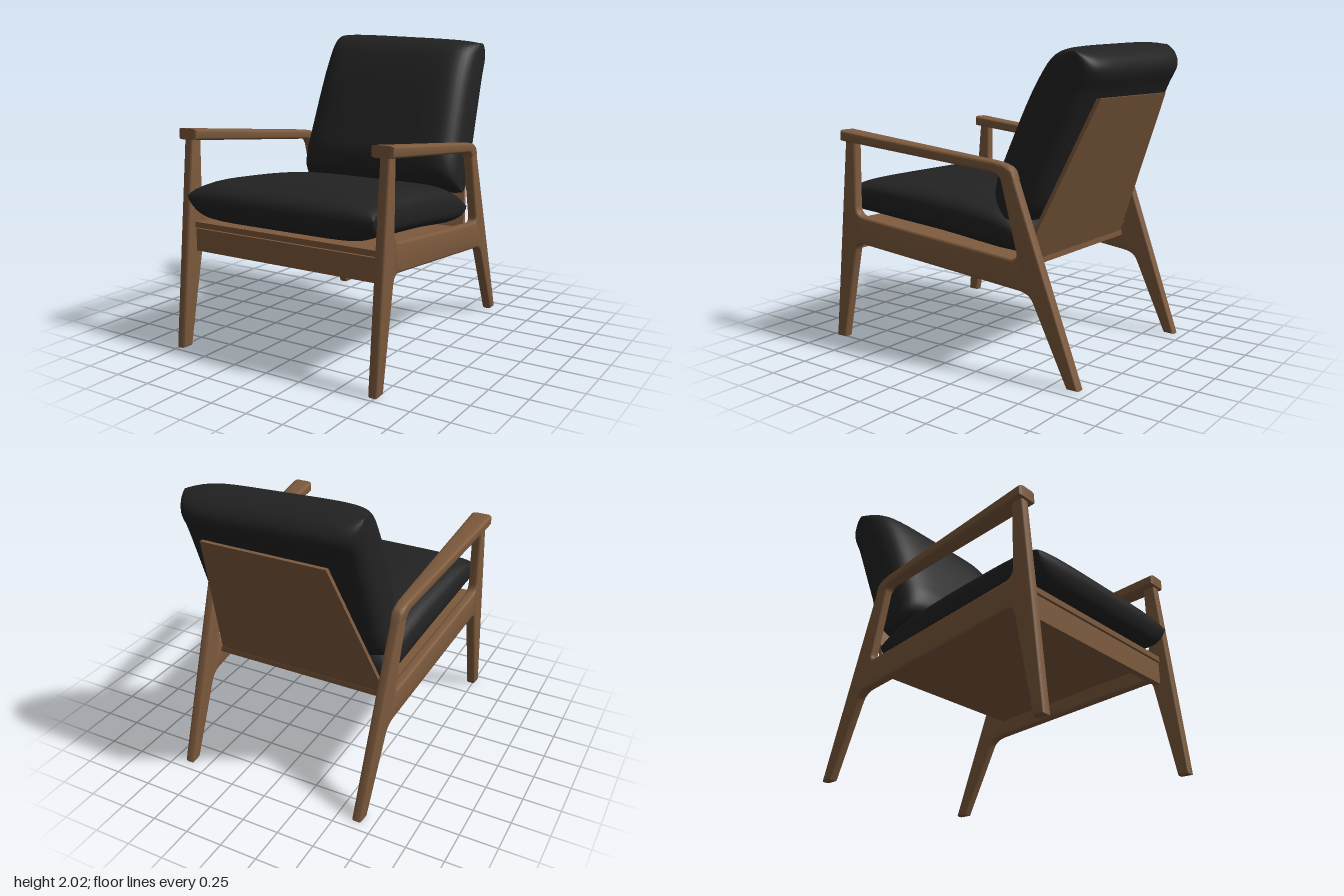
import * as THREE from 'three';
import { toCreasedNormals } from 'three/addons/utils/BufferGeometryUtils.js';

const wood = new THREE.MeshStandardMaterial({ color: 0x7d5a3d });
wood.name = 'wood';
const fabric = new THREE.MeshStandardMaterial({ color: 0x222222 });
fabric.name = 'black fabric';

const lerp = THREE.MathUtils.lerp;
// The side frames splay outwards towards the front.
const frameX = (z) => 0.737 - 0.053 * (0.95 - z);

function reshape(geo, rule) {
  const p = geo.attributes.position;
  const v = new THREE.Vector3();
  for (let i = 0; i < p.count; i++) {
    v.fromBufferAttribute(p, i);
    rule(v);
    p.setXYZ(i, v.x, v.y, v.z);
  }
  geo.computeVertexNormals();
  return geo;
}

// Outline in (z, y): two numbers make a line, four a quadratic curve.
function outline(steps) {
  const s = new THREE.Shape();
  steps.forEach((p, i) => {
    if (i === 0) s.moveTo(...p);
    else if (p.length === 4) s.quadraticCurveTo(...p);
    else s.lineTo(...p);
  });
  return s;
}

// Side-on board of a given thickness, centred on x = 0, with rounded edges.
function board(steps, thickness, bevel, rule) {
  const geo = new THREE.ExtrudeGeometry(outline(steps), {
    depth: thickness - 2 * bevel, curveSegments: 6,
    bevelThickness: bevel, bevelSize: bevel, bevelOffset: -bevel, bevelSegments: 3,
  });
  geo.translate(0, 0, -(thickness / 2 - bevel));
  geo.rotateY(-Math.PI / 2);
  return toCreasedNormals(reshape(geo, rule), 0.6);
}

// Cushion: a closed (z, y) profile lofted across x, thinning to a side seam.
// "along" is the direction of the cushion's midline, through "mid".
function cushion(profile, mid, along, rule) {
  const curve = new THREE.CatmullRomCurve3(
    profile.map(([z, y]) => new THREE.Vector3(0, y, z)), true, 'centripetal');
  const ring = curve.getPoints(56).slice(0, -1);
  const n = ring.length, stations = 32;
  const [dz, dy] = new THREE.Vector2(...along).normalize().toArray();
  const pos = [], index = [];
  for (let i = 0; i <= stations; i++) {
    const t = (i / stations) * 2 - 1;
    const s = Math.sign(t) * (1 - (1 - Math.abs(t)) ** 2);
    const thick = Math.cbrt(Math.max(0, 1 - Math.abs(s) ** 7));
    const long = 1 - 0.025 * s ** 4;
    ring.forEach((p) => {
      const z = p.z - mid[0], y = p.y - mid[1];
      const a = (z * dz + y * dy) * long;
      const b = (-z * dy + y * dz) * thick;
      const v = new THREE.Vector3(s, mid[1] + a * dy + b * dz, mid[0] + a * dz - b * dy);
      rule(v);
      pos.push(v.x, v.y, v.z);
    });
  }
  for (let i = 0; i < stations; i++) {
    for (let j = 0; j < n; j++) {
      const a = i * n + j, b = i * n + ((j + 1) % n);
      index.push(a, a + n, b, b, a + n, b + n);
    }
  }
  const geo = new THREE.BufferGeometry();
  geo.setAttribute('position', new THREE.Float32BufferAttribute(pos, 3));
  geo.setIndex(index);
  geo.computeVertexNormals();
  return geo;
}

export function createModel() {
  const chair = new THREE.Group();
  chair.name = 'armchair';
  const add = (name, geo, mat, parent = chair) => {
    const m = new THREE.Mesh(geo, mat);
    m.name = name;
    parent.add(m);
  };

  // Front leg, side rail and back leg in one piece
  const legsAndRail = [
    [0.965, 0], [0.83, 1.4], [0.75, 1.4], [0.755, 0.93],
    [0.75, 0.87, 0.69, 0.863], [-0.46, 0.737], [-0.52, 0.73, -0.508, 0.78],
    [-0.395, 1.22], [-0.38, 1.28], [-0.42, 1.298], [-0.465, 1.295, -0.48, 1.262],
    [-0.937, 0], [-0.858, 0], [-0.625, 0.485],
    [-0.6, 0.54, -0.52, 0.547], [0.7, 0.678], [0.755, 0.682, 0.767, 0.62], [0.888, 0],
  ];
  // Armrest, bending down into the back leg
  const armrest = [
    [0.85, 1.443], [-0.33, 1.317], [-0.45, 1.305, -0.481, 1.264], [-0.5, 1.212],
    [-0.398, 1.208], [-0.385, 1.25, -0.32, 1.25], [0.85, 1.37],
  ];
  for (const side of [1, -1]) {
    const frame = new THREE.Group();
    frame.name = side > 0 ? 'leftSideFrame' : 'rightSideFrame';
    chair.add(frame);
    add('legsAndRail', board(legsAndRail, 0.068, 0.016, (v) => {
      v.x += side * frameX(v.z);
    }), wood, frame);
    add('armrest', board(armrest, 0.072, 0.016, (v) => {
      const f = (v.z + 0.5) / 1.35;
      v.x = v.x * lerp(1, 2.1, f) + side * (frameX(v.z) - 0.007 * f);
    }), wood, frame);
  }

  // Front rail between the legs
  const rail = new THREE.BoxGeometry(1.4, 0.15, 0.045);
  rail.translate(0, 0.71, 0.8);
  add('frontRail', rail, wood);

  // Sloping seat panel, narrower at the back
  const panel = new THREE.BoxGeometry(2, 0.037, 1.33);
  panel.translate(0, 0.812, 0.165);
  add('seatPanel', reshape(panel, (v) => {
    v.x *= frameX(v.z) - 0.032;
    v.y -= 0.105 * (0.83 - v.z);
  }), wood);

  // Leaning back panel, narrower at the top
  const back = new THREE.BoxGeometry(2, 1, 0.028);
  back.translate(0, 0.5, 0);
  add('backPanel', reshape(back, (v) => {
    v.x *= lerp(0.615, 0.42, v.y);
    v.z += lerp(-0.478, -0.903, v.y);
    v.y = lerp(0.675, 1.69, v.y);
  }), wood);

  // Seat cushion
  add('seatCushion', cushion([
    [0.915, 0.98], [0.885, 1.06], [0.75, 1.105], [0.35, 1.098], [-0.07, 1.055],
    [-0.32, 1.0], [-0.48, 0.9], [-0.505, 0.77], [-0.46, 0.735], [0.15, 0.795],
    [0.72, 0.85], [0.87, 0.875],
  ], [0.2, 0.935], [1, 0.12], (v) => {
    v.x *= frameX(v.z) - 0.038;
  }), fabric);

  // Back cushion, sagging a little towards one side
  add('backCushion', cushion([
    [-0.47, 0.93], [-0.32, 0.99], [-0.232, 1.09], [-0.235, 1.2], [-0.29, 1.34],
    [-0.5, 1.8], [-0.63, 1.965], [-0.79, 1.995], [-0.93, 1.93], [-0.968, 1.85],
    [-0.9, 1.71], [-0.72, 1.29], [-0.59, 1.0],
  ], [-0.6, 1.47], [-0.43, 1], (v) => {
    const f = THREE.MathUtils.clamp((v.y - 0.95) / 1.05, 0, 1);
    v.y -= 0.022 * f * f * v.x - 0.008 * f;
    v.x = v.x * lerp(0.635, 0.59, f) - 0.022 * f;
  }), fabric);

  return chair;
}
